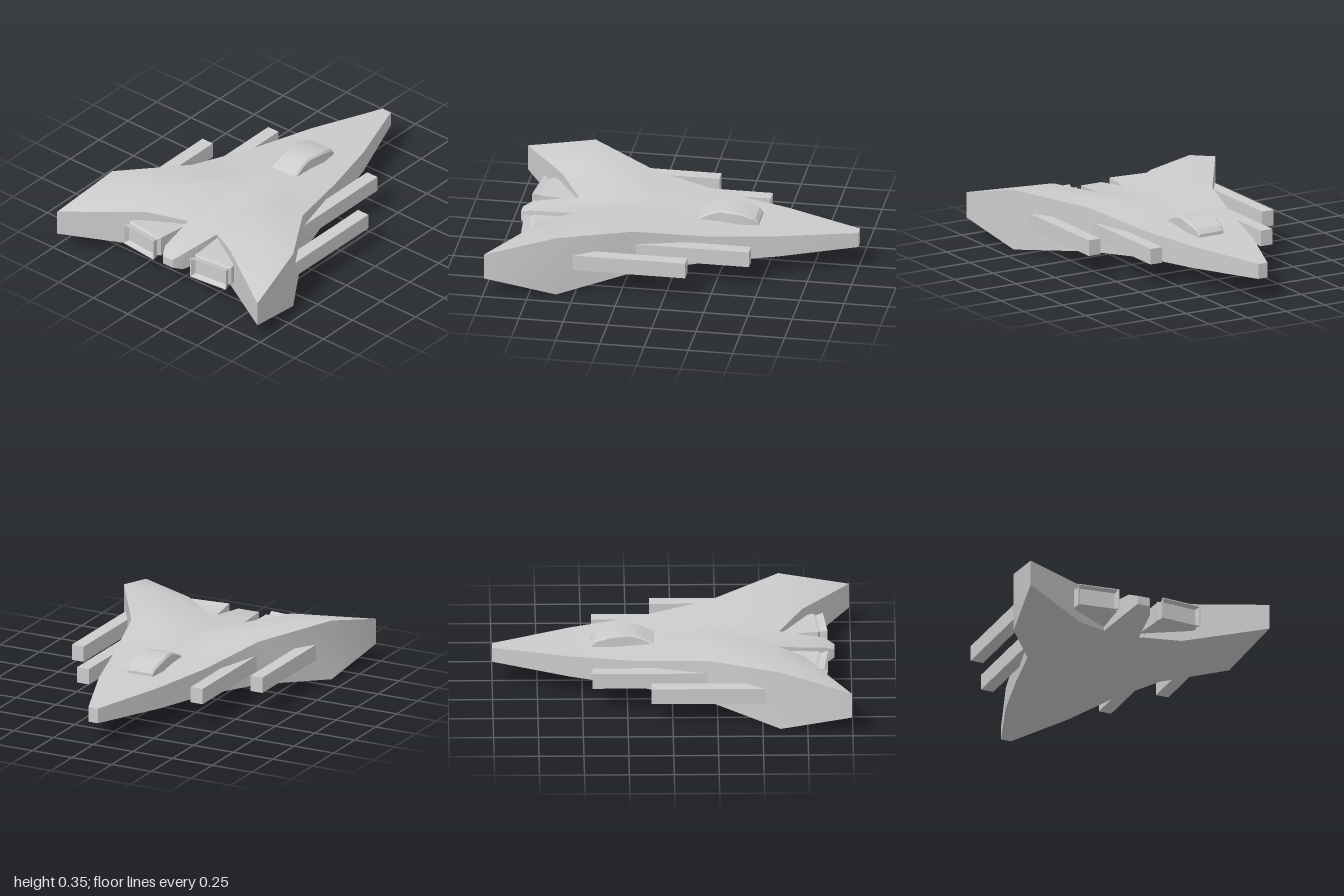
import * as THREE from 'three';
import { toCreasedNormals } from 'three/addons/utils/BufferGeometryUtils.js';

const MID = 0.177; // height of the hull's plane of symmetry
const grey = new THREE.MeshStandardMaterial({ color: 0xcccccc });

function meshFrom(name, positions, crease) {
  const g = new THREE.BufferGeometry();
  g.setAttribute('position', new THREE.Float32BufferAttribute(positions, 3));
  const m = new THREE.Mesh(toCreasedNormals(g, crease), grey);
  m.name = name;
  return m;
}

// Skin closed rings that run towards +z, each counter-clockwise seen from +z
function loft(name, rings, crease) {
  const pos = [];
  const tri = (a, b, c) => pos.push(...a, ...b, ...c);
  const n = rings[0].length;
  for (let i = 0; i < rings.length - 1; i++) {
    const p = rings[i], q = rings[i + 1];
    for (let j = 0; j < n; j++) {
      const k = (j + 1) % n;
      tri(p[j], p[k], q[k]);
      tri(p[j], q[k], q[j]);
    }
  }
  const first = rings[0], last = rings[rings.length - 1];
  for (let j = 1; j < n - 1; j++) {
    tri(first[0], first[j + 1], first[j]);
    tri(last[0], last[j], last[j + 1]);
  }
  return meshFrom(name, pos, crease);
}

// Hull: one quarter of points [x, z, half thickness], mirrored in x and y
function hull() {
  const pos = [];
  const put = ([x, z, h], sx, sy) => pos.push(x * sx, MID + h * sy, z);
  const tri = (a, b, c) => {
    for (const sx of [1, -1]) for (const sy of [1, -1]) {
      for (const p of sx * sy > 0 ? [a, b, c] : [a, c, b]) put(p, sx, sy);
    }
  };
  const quad = (a, b, c, d) => { tri(a, b, c); tri(a, c, d); };
  const wall = (a, b) => {
    for (const sx of [1, -1]) {
      const c = [[a, 1], [b, 1], [b, -1], [a, -1]];
      const order = sx > 0 ? [0, 1, 2, 0, 2, 3] : [0, 2, 1, 0, 3, 2];
      for (const i of order) put(c[i][0], sx, c[i][1]);
    }
  };

  // cross rows from nose to wing root
  const rows = [
    [-1, 0.043, [0, 0.01, 0.02, 0.03]],
    [-0.57, 0.062, [0, 0.06, 0.12, 0.19]],
    [-0.2, 0.078, [0, 0.08, 0.17, 0.29]],
    [0.21, 0.126, [0, 0.1, 0.2, 0.4]],
  ].map(([z, h, xs]) => xs.map((x) => [x, z, h]));
  rows.push([[0, 0.6, 0.073], [0.105, 0.6, 0.073], [0.4, 0.6, 0.173], [0.655, 0.6, 0.173]]);
  for (let i = 0; i < rows.length - 1; i++) {
    const p = rows[i], q = rows[i + 1];
    for (let j = 0; j < 3; j++) quad(p[j], q[j], q[j + 1], p[j + 1]);
    wall(p[3], q[3]);
  }
  for (let j = 0; j < 3; j++) wall(rows[0][j], rows[0][j + 1]);

  // swept wing tip and trailing edge
  const [centre, notch, ridge, shoulder] = rows[4];
  const trail = [0.31, 0.73, 0.113], tip = [0.725, 0.995, 0.073];
  tri(notch, trail, ridge);
  quad(ridge, trail, tip, shoulder);
  wall(shoulder, tip);
  wall(tip, trail);
  wall(trail, notch);

  // tail spine
  const spine = [[0.105, 0.6, 0.073], [0.065, 0.85, 0.05], [0.035, 0.905, 0.025]];
  let inner = centre;
  for (let i = 0; i < 2; i++) {
    const a = spine[i], b = spine[i + 1], next = [0, b[1], b[2]];
    quad(inner, next, b, a);
    wall(a, b);
    inner = next;
  }
  wall(spine[2], inner);
  return meshFrom('hull', pos, 0.65);
}

// Canopy: sections [z, top height, half width] with chamfered shoulders
function canopy() {
  const rings = [
    [-0.445, 0.262, 0.08], [-0.425, 0.285, 0.083], [-0.34, 0.315, 0.094],
    [-0.23, 0.32, 0.082], [-0.17, 0.302, 0.084], [-0.09, 0.262, 0.092],
  ].map(([z, y, w]) => [
    [-w, 0.23, z], [w, 0.23, z], [w, y - 0.01, z],
    [w - 0.01, y, z], [-w + 0.01, y, z], [-w, y - 0.01, z],
  ]);
  return loft('canopy', rings, 0.5);
}

// Engine pod: sections [z, half width, half height], ending in a recessed nozzle
function engine() {
  const rings = [
    [-0.3, 0.118, 0.05], [-0.06, 0.118, 0.056], [-0.04, 0.123, 0.057],
    [-0.025, 0.108, 0.052], [0.015, 0.121, 0.062], [0.015, 0.115, 0.057],
    [-0.012, 0.102, 0.046],
  ].map(([z, w, h]) => [[-w, -h, z], [w, -h, z], [w, h, z], [-w, h, z]]);
  return loft('engine', rings, 0.3);
}

function gun(name, x, zFront, zBack) {
  const m = new THREE.Mesh(new THREE.BoxGeometry(0.075, 0.09, zBack - zFront), grey);
  m.position.set(x, 0.18, (zFront + zBack) / 2);
  m.name = name;
  return m;
}

export function createModel() {
  const model = new THREE.Group();
  model.name = 'spaceFighter';
  model.add(hull(), canopy());
  for (const s of [1, -1]) {
    const side = s > 0 ? 'left' : 'right';
    const pod = engine();
    pod.name = side + 'Engine';
    pod.position.set(s * 0.25, MID, 0.842);
    pod.rotation.y = s * 0.1;
    model.add(pod);
    model.add(gun(side + 'InnerGun', s * 0.358, -0.445, 0.4));
    model.add(gun(side + 'OuterGun', s * 0.563, -0.12, 0.52));
  }
  return model;
}
